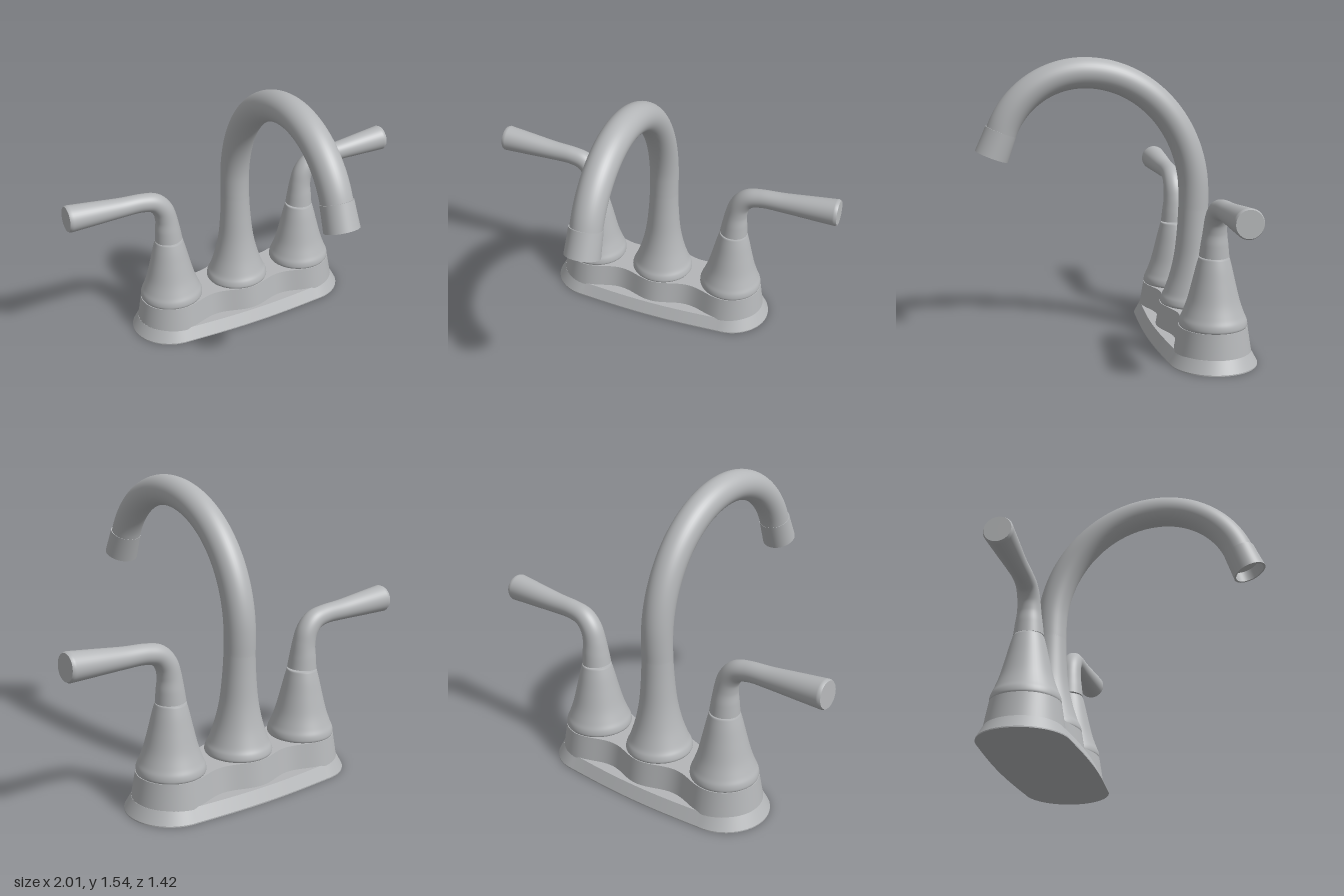
import * as THREE from 'three';

const V3 = (x, y, z) => new THREE.Vector3(x, y, z);
const V2 = (x, y) => new THREE.Vector2(x, y);
const spline2 = (pairs, n) => new THREE.SplineCurve(pairs.map(p => V2(...p))).getPoints(n);

// Skin closed rings of points; the same ring listed twice makes a sharp edge
function loft(rings) {
  const n = rings[0].length, index = [];
  for (let i = 0; i < rings.length - 1; i++) {
    if (rings[i] === rings[i + 1]) continue;
    for (let j = 0; j < n; j++) {
      const k = (j + 1) % n, a = i * n + j, b = i * n + k;
      index.push(a, b, b + n, a, b + n, a + n);
    }
  }
  const geo = new THREE.BufferGeometry().setFromPoints(rings.flat());
  geo.setIndex(index);
  geo.computeVertexNormals();
  return geo;
}

// Circular ring around a planar curve at fraction u; side is the normal of the curve's plane
function ringAt(curve, side, u, r, n = 40) {
  const p = curve.getPointAt(u), up = curve.getTangentAt(u).cross(side).normalize();
  return Array.from({ length: n }, (_, j) => {
    const a = j / n * Math.PI * 2;
    return p.clone().addScaledVector(side, r * Math.cos(a)).addScaledVector(up, r * Math.sin(a));
  });
}

// Elongated outline with round ends at x = +-cx and half depth given by depth(x)
function outline(cx, depth, y) {
  const pts = [], R = depth(cx), nEnd = 28, nSide = 60;
  for (const s of [1, -1]) {
    for (let i = 0; i < nEnd; i++) {
      const a = -Math.PI / 2 + Math.PI * i / nEnd;
      pts.push(V3(s * (cx + R * Math.cos(a)), y, -s * R * Math.sin(a)));
    }
    for (let i = 0; i < nSide; i++) {
      const x = s * cx * (1 - 2 * i / nSide);
      pts.push(V3(x, y, -s * depth(x)));
    }
  }
  return pts;
}
const flatten = ring => ring.map(p => V3(p.x, p.y, 0));

export function createModel() {
  const metal = new THREE.MeshStandardMaterial({ color: 0xb4b6b8 });
  metal.name = 'brushed metal';
  const model = new THREE.Group();
  model.name = 'faucet';
  const fixture = new THREE.Group();
  fixture.name = 'fixture';
  fixture.position.z = -0.46;
  model.add(fixture);
  const add = (parent, name, geo) => {
    const m = new THREE.Mesh(geo, metal);
    m.name = name;
    parent.add(m);
    return m;
  };

  // Flared base plate, bulging slightly at the middle
  const bulge = (end, mid) => x => end + (mid - end) * Math.cos(Math.PI / 2 * x / 0.43);
  const foot = outline(0.43, bulge(0.23, 0.25), 0);
  const lip = outline(0.43, bulge(0.23, 0.25), 0.006);
  const rim = outline(0.43, bulge(0.195, 0.218), 0.07);
  add(fixture, 'basePlate', loft([flatten(foot), foot, foot, lip, lip, rim, rim, flatten(rim)]));

  // Scalloped body wrapping the three columns
  const wave = (full, neck) => x => (full + neck) / 2 + (full - neck) / 2 * Math.cos(2 * Math.PI * x / 0.425);
  const low = outline(0.425, wave(0.2, 0.152), 0.06);
  const high = outline(0.425, wave(0.177, 0.128), 0.198);
  add(fixture, 'scallopedBody', loft([low, high, high, flatten(high)]));

  // Bell-shaped centre column
  const column = spline2([[0.172, 0.197], [0.176, 0.208], [0.17, 0.232], [0.153, 0.268], [0.123, 0.36],
    [0.1, 0.47], [0.087, 0.6], [0.081, 0.72], [0.08, 0.82]], 48);
  add(fixture, 'spoutColumn', new THREE.LatheGeometry(column, 48));

  // Gooseneck: a quarter ellipse rising from the column, then a circular arc down to the outlet
  const path = [V3(0, 0.72, 0)];
  for (let i = 0; i <= 12; i++) {
    const a = Math.PI / 2 * i / 12;
    path.push(V3(0, 0.8 + 0.662 * Math.sin(a), 0.6 - 0.6 * Math.cos(a)));
  }
  for (let i = 1; i <= 10; i++) {
    const a = Math.PI / 2 - THREE.MathUtils.degToRad(72) * i / 10;
    path.push(V3(0, 1 + 0.462 * Math.sin(a), 0.6 + 0.462 * Math.cos(a)));
  }
  const neck = new THREE.CatmullRomCurve3(path), xAxis = V3(1, 0, 0);
  neck.arcLengthDivisions = 600;
  add(fixture, 'gooseneck', loft(Array.from({ length: 81 }, (_, i) => ringAt(neck, xAxis, i / 80, 0.081))));

  // Outlet collar with a recessed opening
  const drop = new THREE.LineCurve3(V3(0, 1.165, 1.034), V3(0, 1.035, 1.085));
  const at = (u, r) => ringAt(drop, xAxis, u, r);
  const top = at(0, 0.085), edge = at(1, 0.091), inner = at(1, 0.08), deep = at(0.6, 0.076);
  add(fixture, 'outletCollar', loft([at(0, 0.07), top, top, at(0.4, 0.087), edge, edge, inner, inner,
    deep, deep, at(0.6, 0)]));

  // Handles: the second is the first turned half way round
  const bell = spline2([[0.172, 0.197], [0.176, 0.208], [0.172, 0.232], [0.158, 0.265], [0.135, 0.33],
    [0.112, 0.42], [0.093, 0.5], [0.079, 0.552]], 40);
  bell.push(V2(0.076, 0.558), V2(0, 0.558));
  const lever = new THREE.CatmullRomCurve3([V3(0, 0.562, 0), V3(0.003, 0.62, 0), V3(0.008, 0.69, 0),
    V3(0.026, 0.755, 0), V3(0.07, 0.806, 0), V3(0.14, 0.826, 0), V3(0.28, 0.833, 0), V3(0.575, 0.848, 0)]);
  const radii = spline2([[0, 0.077], [0.08, 0.07], [0.17, 0.061], [0.3, 0.056], [0.45, 0.051],
    [0.6, 0.054], [0.8, 0.064], [0.985, 0.073]], 64);
  const zAxis = V3(0, 0, 1);
  const rings = radii.map(p => ringAt(lever, zAxis, THREE.MathUtils.clamp(p.x, 0, 1), p.y));
  const base = rings[0], tip = ringAt(lever, zAxis, 1, 0.067);
  const leverRings = [ringAt(lever, zAxis, 0, 0), base, ...rings, tip, tip, ringAt(lever, zAxis, 1, 0)];
  for (const s of [1, -1]) {
    const handle = new THREE.Group();
    handle.name = s > 0 ? 'leftHandle' : 'rightHandle';
    handle.position.x = 0.425 * s;
    handle.rotation.y = s > 0 ? 0 : Math.PI;
    add(handle, 'handleBell', new THREE.LatheGeometry(bell, 48));
    add(handle, 'handleLever', loft(leverRings));
    fixture.add(handle);
  }
  return model;
}
